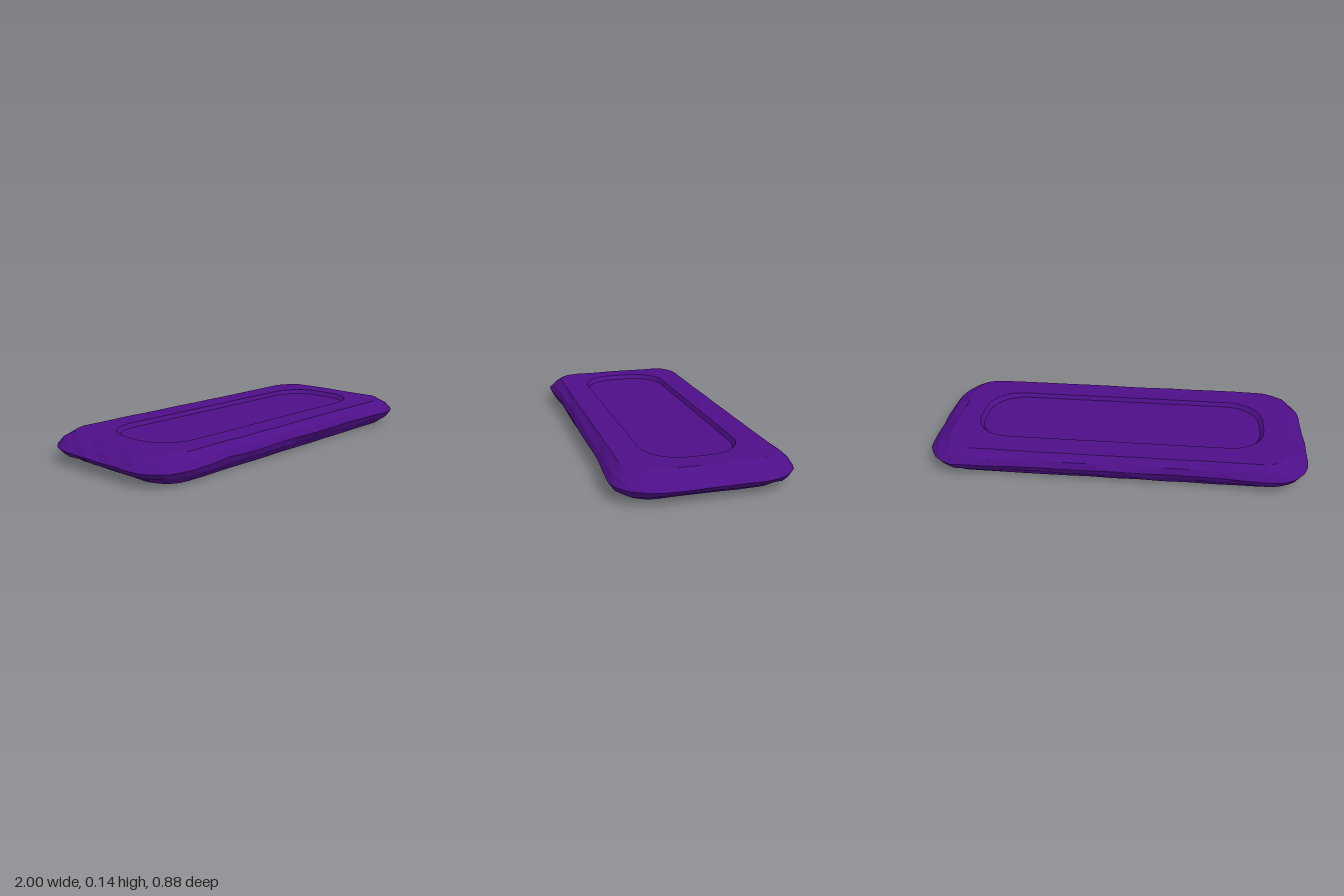
import * as THREE from 'three';

const CORNER_STEPS = 6, LONG_STEPS = 12, SHORT_STEPS = 5;

// Small seeded generator for the hand-hewn edge
function seeded(seed) {
  return () => {
    seed = (seed * 16807) % 2147483647;
    return seed / 2147483647 - 0.5;
  };
}

// One rounded-rectangle cross-section; swell pushes the corners out along z
function ring({ hx, hz, r, y, swell = 0, rough = 0 }, rand) {
  const pts = [];
  const corners = [[1, 1], [-1, 1], [-1, -1], [1, -1]];
  corners.forEach(([sx, sz], q) => {
    const cx = sx * (hx - r), cz = sz * (hz - r);
    for (let i = 0; i <= CORNER_STEPS; i++) {
      const a = (q + i / CORNER_STEPS) * Math.PI / 2;
      pts.push(new THREE.Vector3(cx + r * Math.cos(a), y, cz + r * Math.sin(a)));
    }
    // straight run to the next corner
    const [nx, nz] = corners[(q + 1) % 4];
    const from = pts[pts.length - 1];
    const a = (q + 1) * Math.PI / 2;
    const to = new THREE.Vector3(nx * (hx - r) + r * Math.cos(a), y, nz * (hz - r) + r * Math.sin(a));
    const steps = q % 2 === 0 ? LONG_STEPS : SHORT_STEPS;
    for (let i = 1; i < steps; i++) pts.push(from.clone().lerp(to, i / steps));
  });
  for (const p of pts) {
    const t = THREE.MathUtils.smoothstep(Math.abs(p.x), 0.58, 0.72);
    p.z += Math.sign(p.z) * swell * t * Math.min(1, Math.abs(p.z) / hz);
    p.x *= 1 + rand() * rough * 0.5;
    p.z *= 1 + rand() * rough;
    p.y += rand() * rough * 0.4;
  }
  return pts;
}

// Faceted skin through consecutive rings, listed from the top down
function skin(rings, { capTop = false, capBottom = false } = {}) {
  const tri = [];
  const n = rings[0].length;
  for (let j = 0; j < n; j++) {
    const k = (j + 1) % n;
    for (let i = 0; i + 1 < rings.length; i++) {
      const a = rings[i], b = rings[i + 1];
      tri.push(a[j], a[k], b[j], a[k], b[k], b[j]);
    }
    const first = rings[0], last = rings[rings.length - 1];
    if (capTop) tri.push(new THREE.Vector3(0, first[0].y, 0), first[k], first[j]);
    if (capBottom) tri.push(new THREE.Vector3(0, last[0].y, 0), last[j], last[k]);
  }
  const geo = new THREE.BufferGeometry().setFromPoints(tri);
  geo.computeVertexNormals();
  return geo;
}

export function createModel() {
  const group = new THREE.Group();
  group.name = 'stoneSlab';
  const purple = new THREE.MeshStandardMaterial({ color: 0x4e0f88 });
  purple.name = 'deep purple';
  const rand = seeded(41);

  const add = (name, geo) => {
    const mesh = new THREE.Mesh(geo, purple);
    mesh.name = name;
    group.add(mesh);
  };

  // Shared edges of the two recesses
  const topLip = ring({ hx: 0.775, hz: 0.24, r: 0.19, y: 0.14 }, rand);
  const bottomLip = ring({ hx: 0.775, hz: 0.24, r: 0.19, y: 0.003 }, rand);

  // Worn outer body: top border, chipped bevels, widest belt, underside border
  const body = [
    { hx: 0.89, hz: 0.375, r: 0.13, y: 0.14, rough: 0.008 },
    { hx: 0.915, hz: 0.388, r: 0.14, y: 0.125, swell: 0.006, rough: 0.015 },
    { hx: 0.955, hz: 0.408, r: 0.17, y: 0.107, swell: 0.012, rough: 0.02 },
    { hx: 0.995, hz: 0.424, r: 0.2, y: 0.074, swell: 0.016, rough: 0.014 },
    { hx: 0.96, hz: 0.408, r: 0.17, y: 0.042, swell: 0.012, rough: 0.02 },
    { hx: 0.915, hz: 0.388, r: 0.14, y: 0.022, swell: 0.006, rough: 0.015 },
    { hx: 0.885, hz: 0.372, r: 0.13, y: 0.002, rough: 0.008 },
  ].map((r) => ring(r, rand));
  add('slabBody', skin([topLip, ...body, bottomLip]));

  // Sunken panels with sloping walls
  const topFloor = ring({ hx: 0.755, hz: 0.228, r: 0.18, y: 0.118 }, rand);
  const bottomFloor = ring({ hx: 0.755, hz: 0.228, r: 0.18, y: 0.025 }, rand);
  add('topRecess', skin([topFloor, topLip], { capTop: true }));
  add('bottomRecess', skin([bottomLip, bottomFloor], { capBottom: true }));

  return group;
}
